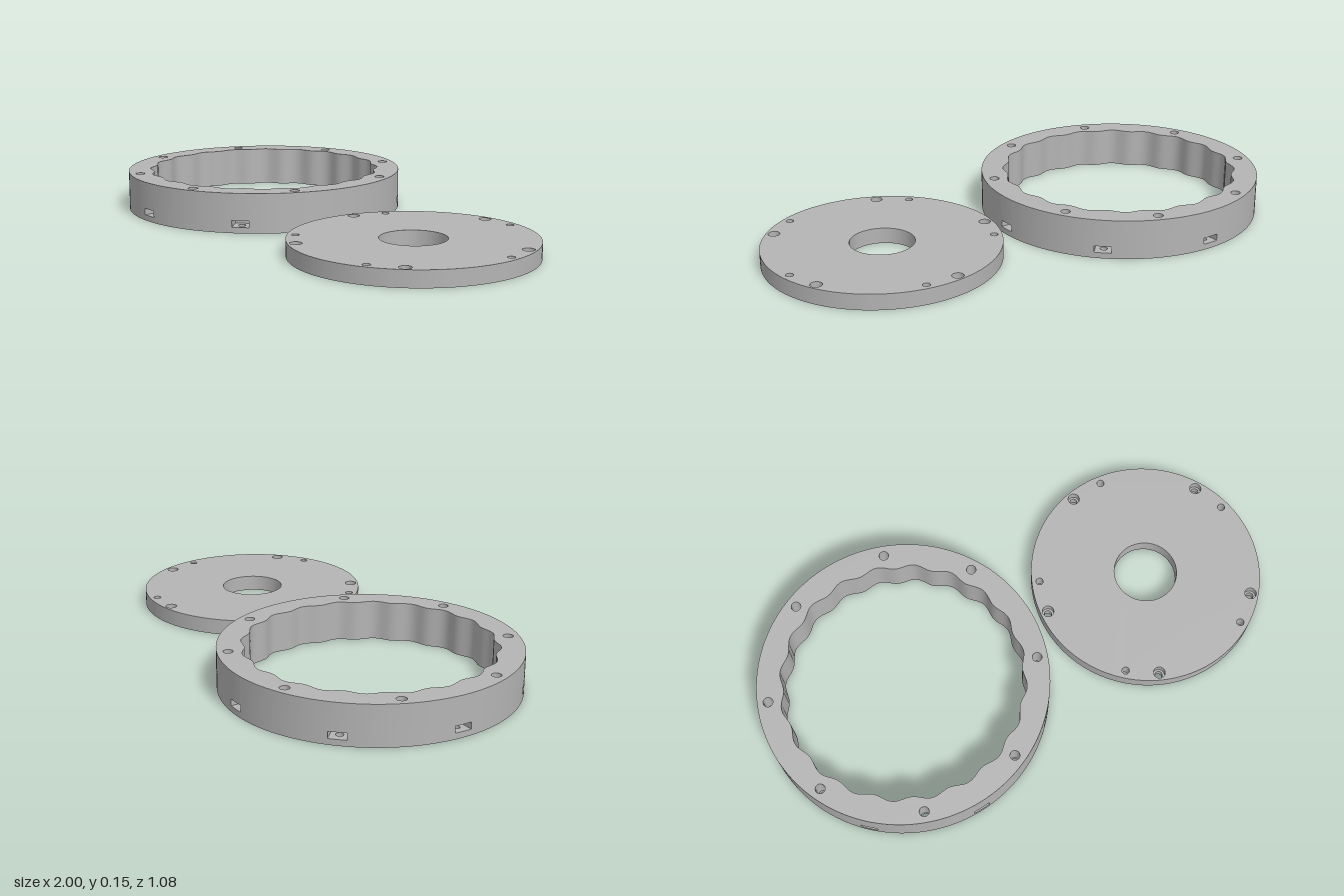
import * as THREE from 'three';
import { mergeGeometries } from 'three/addons/utils/BufferGeometryUtils.js';

const TAU = Math.PI * 2;
const V = (x, z) => new THREE.Vector2(x, z);
const polar = (r, a) => V(r * Math.cos(a), r * Math.sin(a));

// Points along an arc in the ground plane (x, z)
function arc(r, a0, a1, n) {
  return Array.from({ length: n + 1 }, (_, i) => polar(r, a0 + (a1 - a0) * i / n));
}
// Closed circle around a centre, optionally with a wavy radius
function circle(r, n, c = V(0, 0), lobes = 0, amp = 0) {
  return Array.from({ length: n }, (_, i) => {
    const a = i / n * TAU;
    return polar(r + amp * Math.cos(lobes * a), a).add(c);
  });
}

// Vertical wall along a path; counter-order paths face inwards
function wall(pts, y0, y1, closed = true) {
  const pos = [], idx = [], n = pts.length;
  pts.forEach(p => pos.push(p.x, y0, p.y, p.x, y1, p.y));
  for (let i = 0; i < (closed ? n : n - 1); i++) {
    const a = 2 * i, b = 2 * ((i + 1) % n);
    idx.push(a, a + 1, b, a + 1, b + 1, b);
  }
  const g = new THREE.BufferGeometry();
  g.setAttribute('position', new THREE.Float32BufferAttribute(pos, 3));
  g.setIndex(idx);
  g.computeVertexNormals();
  return g;
}
const bore = (pts, y0, y1) => wall([...pts].reverse(), y0, y1);

// Horizontal face with holes, facing up or down
function cap(outline, holes, y, up) {
  const shape = new THREE.Shape(outline);
  holes.forEach(h => shape.holes.push(new THREE.Path(h)));
  const g = new THREE.ShapeGeometry(shape).rotateX(Math.PI / 2).translate(0, y, 0);
  g.deleteAttribute('uv');
  if (up) {
    g.setIndex(Array.from(g.index.array).reverse());
    g.computeVertexNormals();
  }
  return g;
}

// Ring housing with lobed bore, bolt holes and side nut slots
function ringGeometry() {
  const R = 0.54, H = 0.15, boltR = 0.5, slotIn = 0.465, half = 0.032;
  const y0 = 0.022, y1 = 0.047, boreTop = 0.05, pilotTop = 0.08;
  const ha = Math.asin(half / R), step = TAU / 8;
  const parts = [], topHoles = [], bottomHoles = [], outer = [];
  const lobes = circle(0.448, 400, V(0, 0), 20, 0.008);

  for (let k = 0; k < 8; k++) {
    const a = k * step;

    // Bolt hole with a wider recess underneath
    const boltA = k === 7 ? -0.49 : a + step / 2;
    const c = polar(boltR, boltA);
    const small = circle(0.018, 24, c), big = circle(0.025, 24, c);
    topHoles.push(small);
    bottomHoles.push(big);
    parts.push(bore(big, 0, boreTop), cap(big, [small], boreTop, false), bore(small, boreTop, H));

    // Blind pilot hole crossing the nut slot
    const pilot = circle(0.014, 20, polar(boltR, a));
    bottomHoles.push(pilot);
    parts.push(bore(pilot, 0, y0), bore(pilot, y1, pilotTop), cap(pilot, [], pilotTop, false));

    // Nut slot opening through the outer wall
    const mouth = arc(R, a - ha, a + ha, 4);
    const at = (u, v) => V(u, v).rotateAround(V(0, 0), a);
    const inA = at(slotIn, -half), inB = at(slotIn, half);
    const floor = [...mouth, inB, inA];
    parts.push(
      wall([mouth[0], inA], y0, y1, false),
      wall([inA, inB], y0, y1, false),
      wall([inB, mouth[4]], y0, y1, false),
      cap(floor, [pilot], y0, true),
      cap(floor, [pilot], y1, false));

    // Outer wall around and between the slots
    const span = arc(R, a + ha, a + step - ha, 14);
    parts.push(wall(mouth, 0, y0, false), wall(mouth, y1, H, false), wall(span, 0, H, false));
    outer.push(...mouth, ...span.slice(1, -1));
  }
  parts.push(bore(lobes, 0, H));
  parts.push(cap(outer, [lobes, ...topHoles], H, true));
  parts.push(cap(outer, [lobes, ...bottomHoles], 0, false));
  return mergeGeometries(parts);
}

// Cover disc with centre bore and five pairs of holes
function discGeometry() {
  const H = 0.06, seat = 0.03;
  const outer = circle(0.44, 128), centre = circle(0.12, 64);
  const parts = [wall(outer, 0, H), bore(centre, 0, H)];
  const topHoles = [centre], bottomHoles = [centre];
  for (let k = 0; k < 5; k++) {
    const a = -Math.PI / 2 + k * TAU / 5, off = 0.155;
    const plain = circle(0.014, 20, polar(0.41, a + off));
    const c = polar(0.41, a - off);
    const small = circle(0.014, 20, c), big = circle(0.022, 24, c);
    topHoles.push(plain, big);
    bottomHoles.push(plain, small);
    parts.push(bore(plain, 0, H), bore(small, 0, seat), bore(big, seat, H), cap(big, [small], seat, true));
  }
  parts.push(cap(outer, topHoles, H, true), cap(outer, bottomHoles, 0, false));
  return mergeGeometries(parts);
}

export function createModel() {
  const group = new THREE.Group();
  group.name = 'ringAndCover';
  const grey = new THREE.MeshStandardMaterial({ color: 0xb4b4b4 });
  grey.name = 'grey';

  const ring = new THREE.Mesh(ringGeometry(), grey);
  ring.name = 'lobedRing';
  ring.position.set(-0.46, 0, 0);

  const disc = new THREE.Mesh(discGeometry(), grey);
  disc.name = 'coverDisc';
  disc.position.set(0.56, 0, 0.1);

  group.add(ring, disc);
  return group;
}
